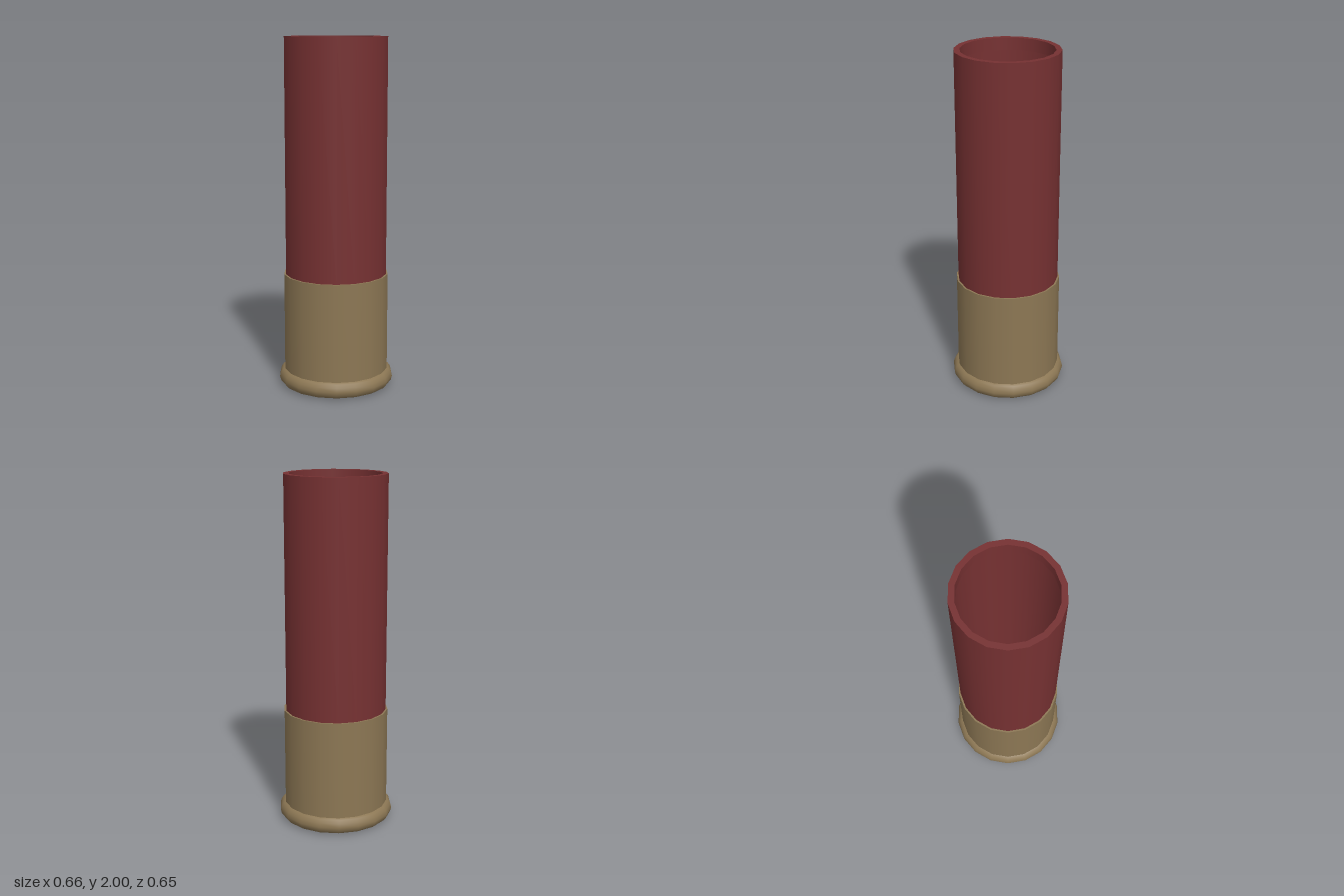
import * as THREE from 'three';

const SIDES = 18;

function material(name, color) {
  const m = new THREE.MeshStandardMaterial({ color, side: THREE.DoubleSide });
  m.name = name;
  return m;
}

// Revolve a [radius, height] profile, with a corner on the x axis
function turned(name, profile, mat) {
  const points = profile.map(([r, y]) => new THREE.Vector2(r, y));
  const mesh = new THREE.Mesh(new THREE.LatheGeometry(points, SIDES, Math.PI / 2), mat);
  mesh.name = name;
  return mesh;
}

export function createModel() {
  const group = new THREE.Group();
  group.name = 'shellCasing';
  const red = material('red plastic', 0x763132);
  const brass = material('brass', 0x8c7754);
  const steel = material('primer grey', 0x9c9c9c);

  // Plastic tube: thin wall with a thicker lip at the mouth
  group.add(
    turned('tubeWall', [[0.29, 0.66], [0.29, 2]], red),
    turned('tubeLipTop', [[0.29, 2], [0.258, 2]], red),
    turned('tubeLipInside', [[0.258, 2], [0.258, 1.93]], red),
    turned('tubeLipUnderside', [[0.258, 1.93], [0.29, 1.93]], red),
    turned('tubeLowerWall', [[0.29, 0.1], [0.29, 0.66]], red),
  );

  // Metal cup around the lower end
  group.add(
    turned('cupWall', [[0.3, 0.095], [0.3, 0.66]], brass),
    turned('cupEdge', [[0.3, 0.66], [0.29, 0.66]], brass),
  );

  // Rounded rim and flat base
  group.add(
    turned('rim', [[0.29, 0.003], [0.31, 0.01], [0.325, 0.027], [0.331, 0.05],
      [0.325, 0.073], [0.313, 0.09], [0.3, 0.097]], brass),
    turned('base', [[0, 0.003], [0.29, 0.003]], brass),
  );

  // Primer disc, visible from below and from inside
  const primer = new THREE.Mesh(new THREE.CylinderGeometry(0.095, 0.095, 0.006, 36), steel);
  primer.name = 'primer';
  primer.position.y = 0.003;
  group.add(primer);

  return group;
}
